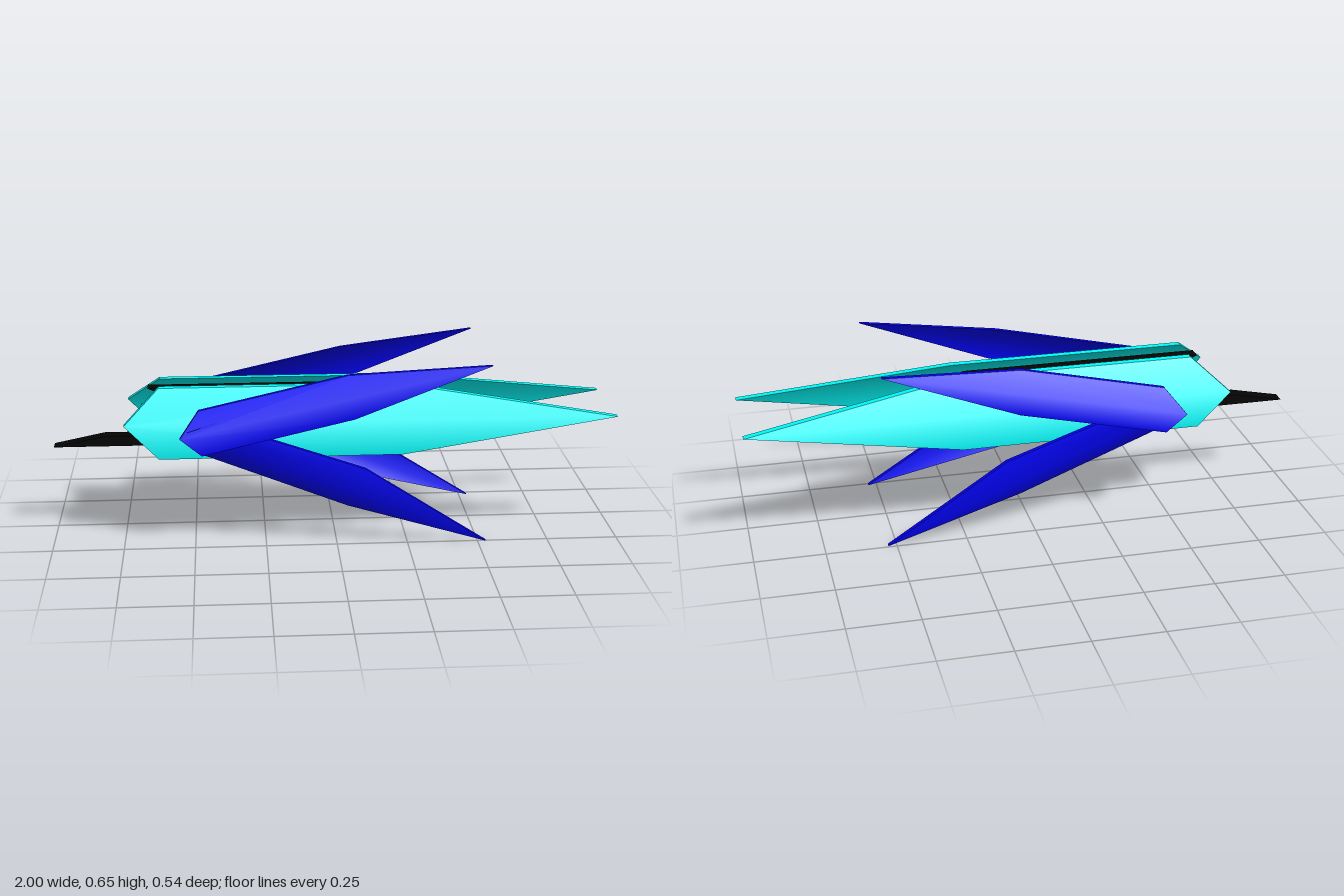
import * as THREE from 'three';

const paint = (color) => new THREE.MeshStandardMaterial({ color, side: THREE.DoubleSide });
const teal = paint(0x00ffff);
const blue = paint(0x0000ff);
const black = paint(0x050505);

// Hexagonal plate folded along its long axis. Points run: rear tip, two lower
// corners, front tip, two upper corners; side is +1 or -1 along z.
function foldedPlate(name, material, points, thickness, side, zShift) {
  const outer = points.map(([x, y, z]) => [x, y, z * side + zShift]);
  const inner = points.map(([x, y, z]) => [x, y, (z - thickness) * side + zShift]);
  const pos = [...outer, ...inner];
  const index = [];
  const tri = (a, b, c) => index.push(...(side > 0 ? [a, b, c] : [a, c, b]));
  // outer and inner sheets, each split at the fold between the tips
  for (const [a, b, c] of [[0, 1, 2], [0, 2, 3], [0, 3, 4], [0, 4, 5]]) {
    tri(a, b, c);
    tri(a + 6, c + 6, b + 6);
  }
  // rim with its own corners so that its edges stay sharp
  for (let i = 0; i < 6; i++) {
    const j = (i + 1) % 6;
    const k = pos.length;
    pos.push(outer[i], inner[i], inner[j], outer[j]);
    tri(k, k + 1, k + 2);
    tri(k, k + 2, k + 3);
  }
  const geo = new THREE.BufferGeometry();
  geo.setAttribute('position', new THREE.Float32BufferAttribute(pos.flat(), 3));
  geo.setIndex(index);
  geo.computeVertexNormals();
  const mesh = new THREE.Mesh(geo, material);
  mesh.name = name;
  return mesh;
}

// Flat outline extruded symmetrically about its own plane
function slab(name, outline, depth) {
  const shape = new THREE.Shape(outline.map(([x, y]) => new THREE.Vector2(x, y)));
  const geo = new THREE.ExtrudeGeometry(shape, { depth, bevelEnabled: false });
  geo.translate(0, 0, -depth / 2);
  const mesh = new THREE.Mesh(geo, black);
  mesh.name = name;
  return mesh;
}

export function createModel() {
  const model = new THREE.Group();
  model.name = 'model';

  // side shells, upper half leaning inwards
  const shell = [
    [-0.74, 0.435, 0.18], [-0.62, 0.312, 0.18], [0.24, 0.312, 0.18],
    [1.0, 0.435, 0.18], [0.24, 0.54, 0.074], [-0.62, 0.54, 0.074],
  ];
  // upper blades, top half leaning inwards
  const upper = [
    [-0.545, 0.41, 0.269], [-0.47, 0.348, 0.269], [0.06, 0.47, 0.269],
    [0.535, 0.652, 0.269], [0.04, 0.608, 0.201], [-0.48, 0.49, 0.201],
  ];
  // lower blades, bottom half leaning inwards
  const lower = [
    [-0.52, 0.43, 0.25], [-0.46, 0.33, 0.203], [0.04, 0.132, 0.203],
    [0.53, 0.003, 0.25], [0.1, 0.28, 0.242], [-0.42, 0.46, 0.242],
  ];
  for (const side of [1, -1]) {
    const label = side > 0 ? 'front' : 'back';
    model.add(foldedPlate(label + 'Shell', teal, shell, 0.027, side, 0.008));
    model.add(foldedPlate(label + 'UpperBlade', blue, upper, 0.017, side, 0));
    model.add(foldedPlate(label + 'LowerBlade', blue, lower, 0.018, side, 0.005));
  }

  // upright core with a long low tail
  const spine = slab('spine', [
    [-1, 0.313], [0.42, 0.313], [0.56, 0.345], [0.56, 0.395], [0.36, 0.45],
    [0.2, 0.525], [-0.66, 0.525], [-0.42, 0.42], [-0.5, 0.35], [-0.82, 0.35],
  ], 0.05);
  spine.position.z = 0.005;
  model.add(spine);

  // level core with a notched rear and tapered nose
  const deck = slab('deck', [
    [-0.69, -0.111], [0.2, -0.111], [0.375, -0.02], [0.375, 0.02],
    [0.2, 0.111], [-0.69, 0.111], [-0.4, 0.02], [-0.4, -0.02],
  ], 0.075);
  deck.rotation.x = -Math.PI / 2;
  deck.position.set(0, 0.392, 0.006);
  model.add(deck);

  return model;
}
